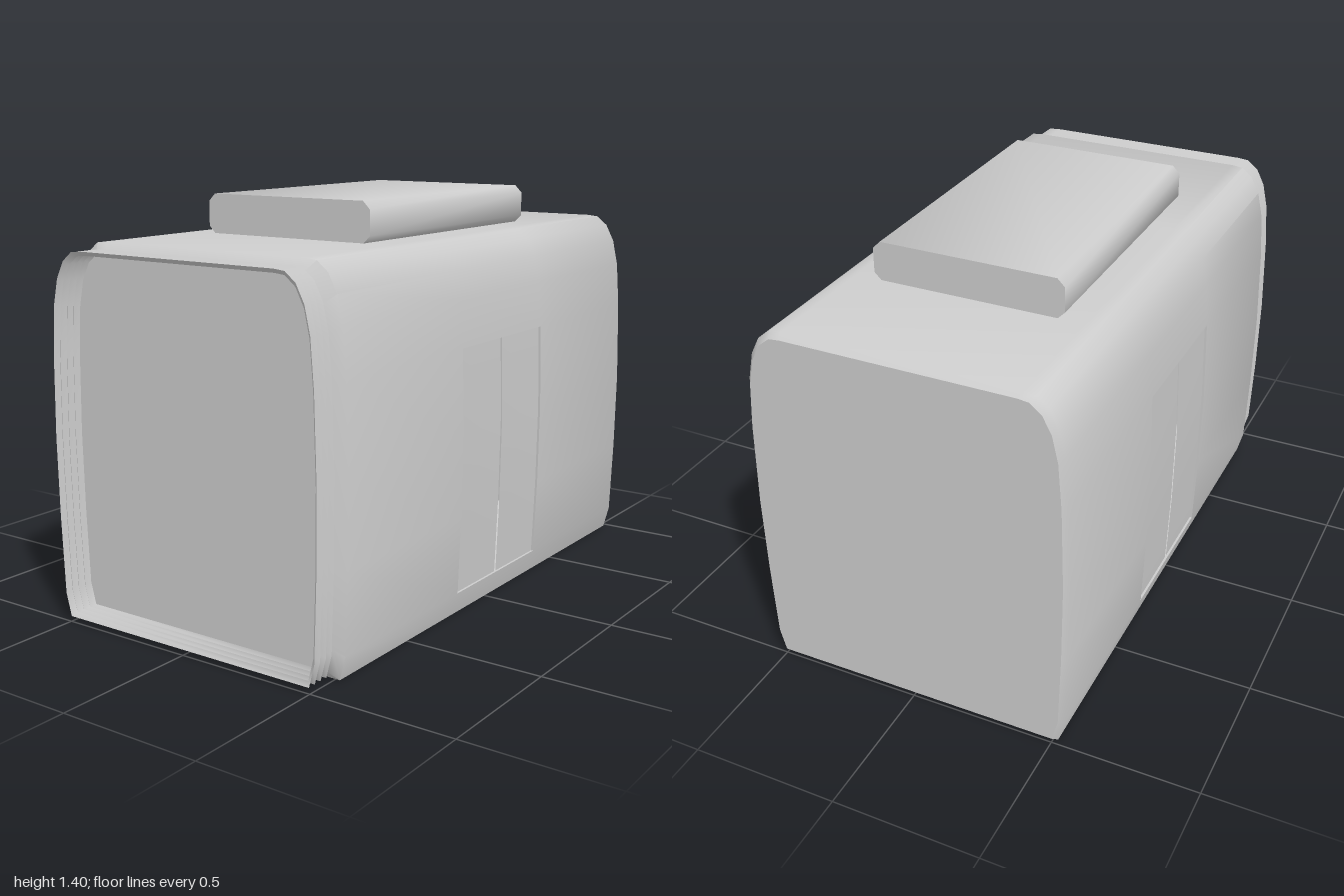
import * as THREE from 'three';
import { toCreasedNormals } from 'three/addons/utils/BufferGeometryUtils.js';

const MID_Y = 0.633;
const DOOR = { front: 0.22, back: -0.32, low: 0.08, high: 0.92, depth: 0.008 };

// Right half of the cross-section, from the floor corner to the roof
const HALF = [
  [0.515, 0], [0.536, 0.08], [0.546, 0.35], [0.55, 0.63], [0.543, 0.92],
  [0.531, 1.08], [0.511, 1.17], [0.48, 1.23], [0.44, 1.262], [0.4, 1.266],
];
const SECTION = [...HALF, ...HALF.map(([x, y]) => [-x, y]).reverse()];

// Cross-section shrunk by an inset and placed at depth z
const ring = (z, inset = 0) => SECTION.map(([x, y]) => new THREE.Vector3(
  x * (1 - inset / 0.55), MID_Y + (y - MID_Y) * (1 - inset / MID_Y), z));

// Skin between successive rows of points; skip(i, j) leaves a quad open
function loft(rows, closed = true, skip = () => false) {
  const n = rows[0].length;
  const index = [];
  for (let i = 0; i < rows.length - 1; i++) {
    for (let j = 0; j < (closed ? n : n - 1); j++) {
      if (skip(i, j)) continue;
      const a = i * n + j, b = i * n + (j + 1) % n;
      index.push(a, b, b + n, a, b + n, a + n);
    }
  }
  const g = new THREE.BufferGeometry().setFromPoints(rows.flat());
  g.setIndex(index);
  return toCreasedNormals(g, 0.9);
}

export function createModel() {
  const group = new THREE.Group();
  const grey = new THREE.MeshStandardMaterial({ color: 0xcccccc, side: THREE.DoubleSide });
  grey.name = 'light grey';

  const add = (name, geometry, parent = group) => {
    const mesh = new THREE.Mesh(geometry, grey);
    mesh.name = name;
    parent.add(mesh);
    return mesh;
  };

  // Body shell with chamfered ends and a doorway in each side
  const bodyRings = [
    ring(-1, 0.015), ring(-0.98), ring(DOOR.back), ring(DOOR.front), ring(0.87), ring(0.9, 0.033),
  ];
  const inDoorway = (i, j) => {
    if (i !== 2) return false;
    const y = (SECTION[j][1] + SECTION[(j + 1) % SECTION.length][1]) / 2;
    return y > DOOR.low && y < DOOR.high;
  };
  add('bodyShell', loft(bodyRings, true, inDoorway));

  // End walls
  const wall = (points, z) => new THREE.ShapeGeometry(
    new THREE.Shape(points.map((p) => new THREE.Vector2(p.x, p.y)))).translate(0, 0, z);
  add('frontWall', wall(bodyRings[5], 0.9));
  const backOutline = bodyRings[0].map((p) => new THREE.Vector3(-p.x, p.y, 0)).reverse();
  add('backWall', wall(backOutline, 0).rotateY(Math.PI).translate(0, 0, -1));

  // Open folded gangway at the front
  const folds = [];
  for (let i = 0; i <= 7; i++) folds.push(ring(0.9 + i * 0.1 / 7, i % 2 ? 0.019 : 0.033));
  add('gangwayBellows', loft(folds));

  // Slightly recessed pair of door leaves on each side
  const doorLine = HALF.filter(([, y]) => y >= DOOR.low && y <= DOOR.high);
  const line = (z, depth) => doorLine.map(([x, y]) => new THREE.Vector3(x - depth, y, z));
  const frame = (depth) => [...line(DOOR.front, depth), ...line(DOOR.back, depth).reverse()];
  const leaf = (z0, z1) => loft([line(z0, DOOR.depth), line(z1, DOOR.depth)], false);
  for (const side of [1, -1]) {
    const doors = new THREE.Group();
    doors.name = side > 0 ? 'leftDoors' : 'rightDoors';
    add('frontLeaf', leaf(-0.044, DOOR.front), doors);
    add('backLeaf', leaf(DOOR.back, -0.053), doors);
    add('doorFrame', loft([frame(DOOR.depth), frame(0)]), doors);
    doors.scale.x = side;
    group.add(doors);
  }

  // Roof unit with bevelled long edges
  const w = 0.332, low = 1.264, high = 1.4, c = 0.026;
  const outline = new THREE.Shape([
    [-w + c, low], [w - c, low], [w, low + c], [w, high - c],
    [w - c, high], [-w + c, high], [-w, high - c], [-w, low + c],
  ].map(([x, y]) => new THREE.Vector2(x, y)));
  const roof = new THREE.ExtrudeGeometry(outline, { depth: 0.995, bevelEnabled: false });
  add('roofUnit', toCreasedNormals(roof.translate(-0.002, 0, -0.55), 0.9));

  return group;
}
